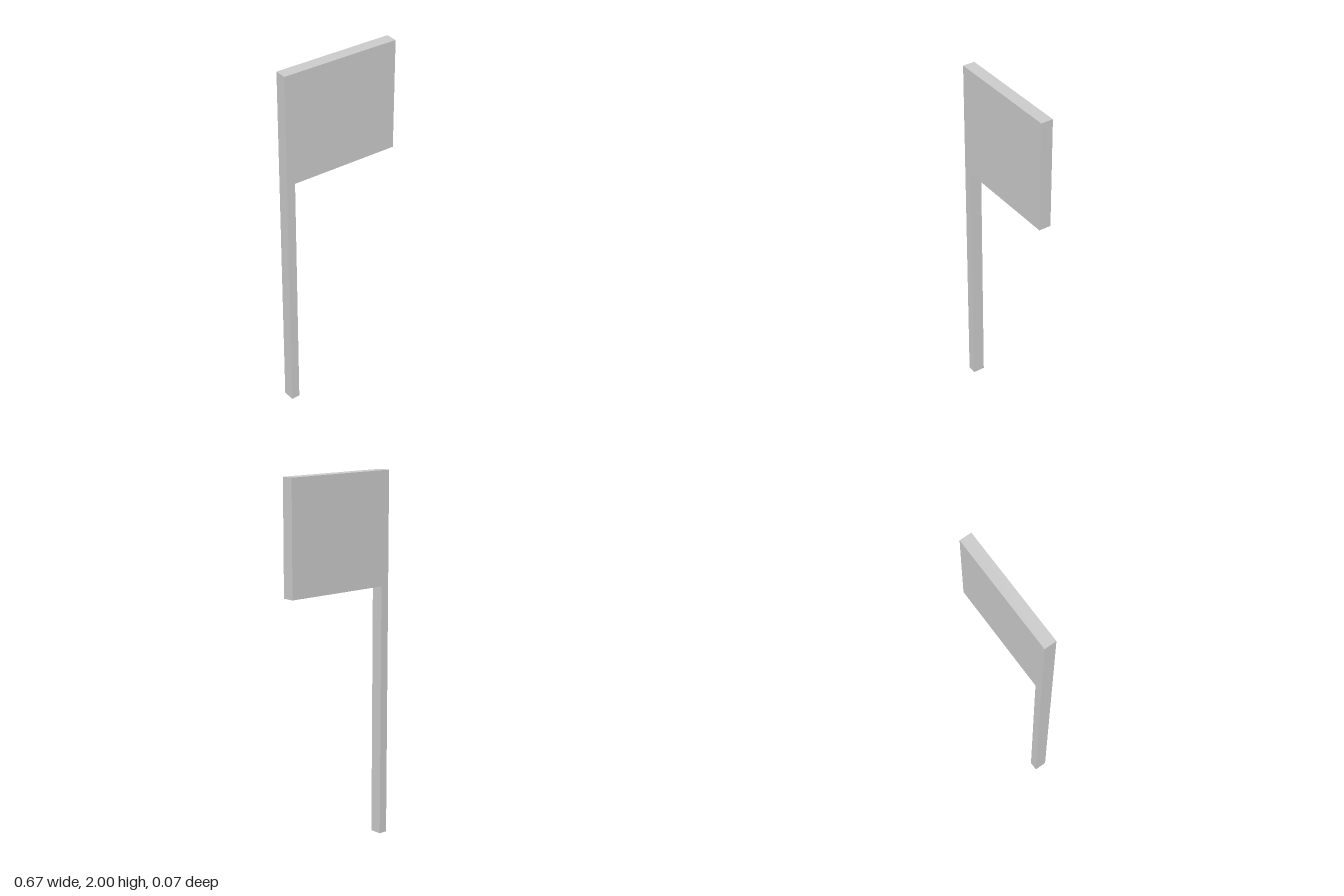
import * as THREE from 'three';

export function createModel() {
  const group = new THREE.Group();
  group.name = 'flag';

  const halfWidth = 0.333, height = 2, depth = 0.067;
  const poleRight = -0.284, bannerBottom = 1.386;

  // Pole and banner share one flush outline, extruded to an even thickness
  const outline = new THREE.Shape([
    [-halfWidth, 0],
    [poleRight, 0],
    [poleRight, bannerBottom],
    [halfWidth, bannerBottom],
    [halfWidth, height],
    [-halfWidth, height],
  ].map(([x, y]) => new THREE.Vector2(x, y)));

  const geometry = new THREE.ExtrudeGeometry(outline, { depth, bevelEnabled: false });
  geometry.translate(0, 0, -depth / 2);

  const flag = new THREE.Mesh(
    geometry,
    new THREE.MeshStandardMaterial({ color: 0xcccccc, flatShading: true })
  );
  flag.name = 'poleAndBanner';
  group.add(flag);

  return group;
}
